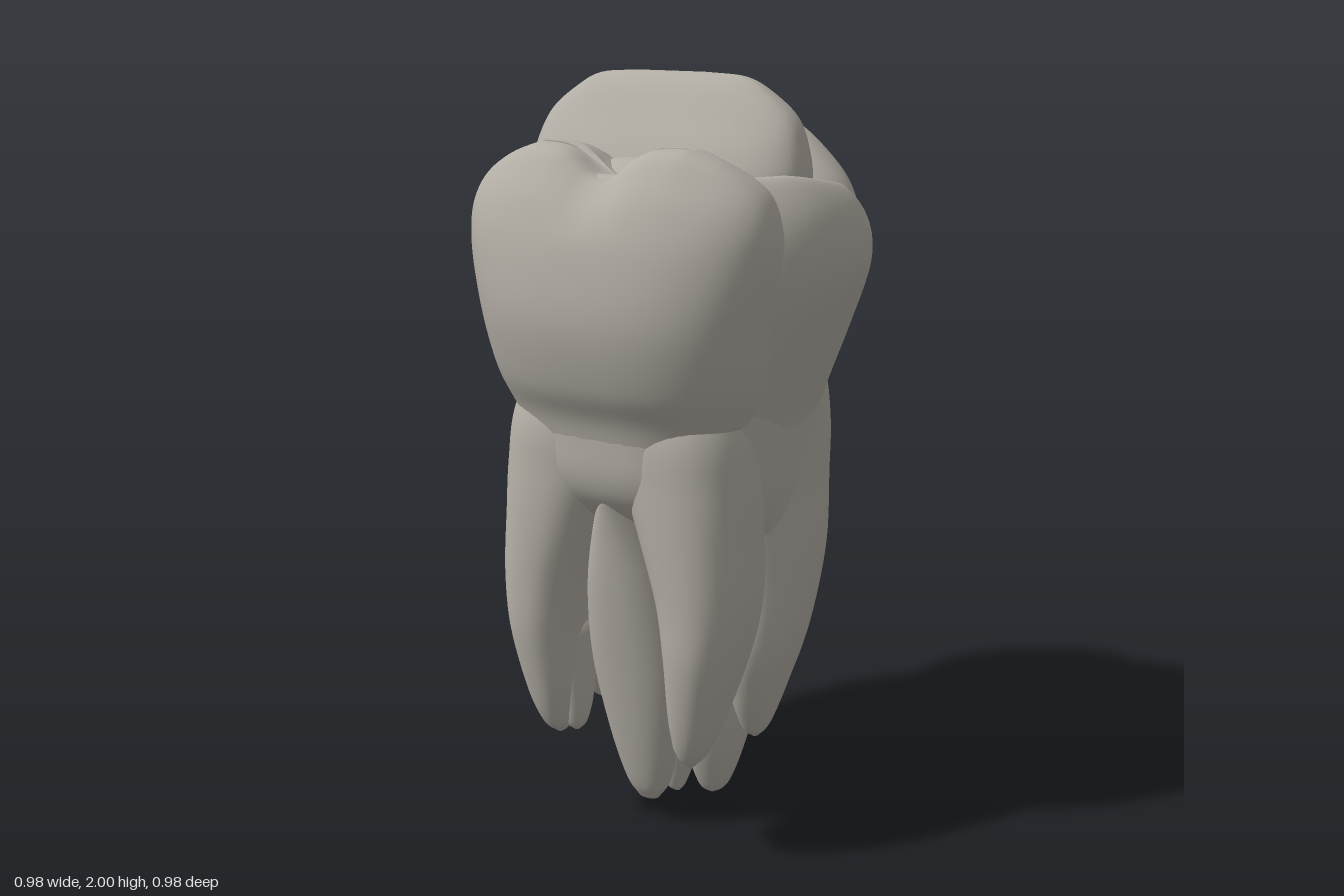
import * as THREE from 'three';

const enamel = new THREE.MeshStandardMaterial({ color: 0xb3aea5 });
enamel.name = 'warm grey';

// Smooth closed body through sections [y, centreX, centreZ, radiusX, radiusZ], listed bottom to top.
// power > 2 squares the cross-section; rule(v) may move each vertex.
function loft(sections, { power = 2.2, sides = 40, rule = null } = {}) {
  const n = sections.length, rings = (n - 1) * 6;
  const spline = new THREE.CubicInterpolant(sections.map((_, i) => i), sections.flat(), 5, new Float32Array(5));
  const pos = [], index = [], v = new THREE.Vector3();
  const add = (x, y, z) => {
    v.set(x, y, z);
    if (rule) rule(v);
    pos.push(v.x, v.y, v.z);
  };
  const round = (c) => Math.sign(c) * Math.pow(Math.abs(c), 2 / power);
  for (let i = 0; i <= rings; i++) {
    const [y, cx, cz, rx, rz] = spline.evaluate((i / rings) * (n - 1));
    for (let j = 0; j < sides; j++) {
      const a = (j / sides) * Math.PI * 2;
      add(cx + Math.max(rx, 0.004) * round(Math.cos(a)), y, cz + Math.max(rz, 0.004) * round(Math.sin(a)));
    }
  }
  const first = sections[0], last = sections[n - 1];
  add(first[1], first[0], first[2]);
  add(last[1], last[0], last[2]);
  const bottom = (rings + 1) * sides, top = bottom + 1;
  for (let j = 0; j < sides; j++) {
    const k = (j + 1) % sides;
    for (let i = 0; i < rings; i++) {
      const a = i * sides + j, b = i * sides + k, c = a + sides, d = b + sides;
      index.push(a, c, b, b, c, d);
    }
    index.push(bottom, j, k, top, rings * sides + k, rings * sides + j);
  }
  const g = new THREE.BufferGeometry();
  g.setAttribute('position', new THREE.Float32BufferAttribute(pos, 3));
  g.setIndex(index);
  g.computeVertexNormals();
  return g;
}

// Lowers the rim of a lobe in the middle and towards its ends
const cusps = (start, notch, width, fall) => (v) => {
  const h = Math.max(0, v.y - start);
  v.y -= h * (notch * Math.exp(-((v.x / width) ** 2)) + fall * Math.max(0, (Math.abs(v.x) - 0.2) / 0.2));
};
// Lets the bowl rim fall away towards the rear
const rearSlope = (v) => { v.y -= Math.max(0, v.y - 1.5) * Math.max(0, 0.15 - v.z) * 0.65; };

export function createModel() {
  const group = new THREE.Group();
  const part = (name, geometry) => {
    const m = new THREE.Mesh(geometry, enamel);
    m.name = name;
    group.add(m);
  };
  const single = (name, sections, options) => part(name, loft(sections, options));
  const pair = (name, sections, options) => {
    single('left' + name, sections, options);
    single('right' + name, sections.map(([y, x, ...r]) => [y, -x, ...r]), options);
  };

  // Crown: wide bowl with a sunken chewing surface
  single('crownBowl', [
    [1.05, 0, 0, 0.33, 0.37], [1.2, 0, 0, 0.37, 0.4], [1.38, 0, 0, 0.435, 0.42],
    [1.52, 0, 0, 0.482, 0.42], [1.63, 0, 0, 0.49, 0.41], [1.72, 0, 0, 0.465, 0.385],
    [1.785, 0, 0, 0.41, 0.34], [1.75, 0, 0, 0.36, 0.28], [1.7, 0, 0, 0.28, 0.2], [1.68, 0, 0, 0.02, 0.02],
  ], { sides: 56, power: 2.25, rule: rearSlope });

  // Front lobe, notched in the middle of its rim
  single('frontLobe', [
    [1.08, 0, 0.2, 0.24, 0.19], [1.2, 0, 0.2, 0.32, 0.215], [1.3, 0, 0.2, 0.36, 0.262],
    [1.45, 0, 0.21, 0.39, 0.282], [1.6, 0, 0.23, 0.412, 0.247], [1.72, 0, 0.26, 0.4, 0.18],
    [1.8, 0, 0.27, 0.365, 0.125], [1.84, 0, 0.29, 0.29, 0.07], [1.85, 0, 0.29, 0.2, 0.02],
  ], { power: 2.5, sides: 64, rule: cusps(1.65, 0.38, 0.07, 0.3) });

  // Rear lobe with two cusps
  single('rearLobe', [
    [1.15, 0, -0.2, 0.26, 0.17], [1.3, 0, -0.2, 0.34, 0.205], [1.48, 0, -0.2, 0.4, 0.222],
    [1.64, 0, -0.2, 0.4, 0.212], [1.76, 0, -0.22, 0.36, 0.165], [1.84, 0, -0.24, 0.27, 0.1],
    [1.87, 0, -0.25, 0.18, 0.05], [1.875, 0, -0.25, 0.09, 0.02],
  ], { sides: 64, rule: cusps(1.6, 0.25, 0.06, 0.25) });

  // Raised cross ridge
  single('centreRidge', [
    [1.6, 0, 0.05, 0.36, 0.16], [1.74, 0, 0.05, 0.375, 0.148], [1.82, 0, 0.042, 0.367, 0.127],
    [1.9, 0, 0.03, 0.335, 0.09], [1.96, 0, 0.025, 0.265, 0.057], [1.992, 0, 0.025, 0.2, 0.026], [2.0, 0, 0.025, 0.1, 0.006],
  ], { power: 2.8, sides: 56 });
  // Small steps in front of and behind the ridge
  single('frontStep', [
    [1.66, 0, 0.21, 0.11, 0.08], [1.76, 0, 0.21, 0.1, 0.07], [1.8, 0, 0.2, 0.075, 0.045], [1.81, 0, 0.2, 0.02, 0.01],
  ]);
  single('rearStep', [
    [1.65, 0, -0.06, 0.27, 0.06], [1.76, 0, -0.05, 0.25, 0.06], [1.86, 0, -0.035, 0.1, 0.04], [1.91, 0, -0.02, 0.06, 0.03],
  ], { power: 3 });
  // Curled folds on the back of the ridge
  for (const s of [1, -1]) {
    const side = s > 0 ? 'left' : 'right';
    const fold = (name, points, r) => part(side + name, new THREE.TubeGeometry(
      new THREE.CatmullRomCurve3(points.map(([x, y, z]) => new THREE.Vector3(s * x, y, z))), 28, r, 10));
    fold('InnerFold', [[0.06, 1.92, -0.015], [0.14, 1.92, -0.03], [0.21, 1.89, -0.04], [0.18, 1.84, -0.055], [0.08, 1.83, -0.035]], 0.022);
    fold('OuterFold', [[0.2, 1.9, 0.02], [0.29, 1.86, -0.02], [0.3, 1.79, -0.04], [0.24, 1.76, -0.08], [0.1, 1.74, -0.08]], 0.035);
  }

  // Neck joining crown and roots
  single('neck', [
    [0.55, 0, -0.06, 0.1, 0.12], [0.7, 0, -0.06, 0.25, 0.23], [0.86, 0, -0.05, 0.32, 0.3],
    [0.97, 0, -0.01, 0.34, 0.37], [1.05, 0, 0, 0.347, 0.4], [1.15, 0, 0, 0.355, 0.405],
    [1.25, 0, 0, 0.36, 0.4], [1.36, 0, 0, 0.34, 0.37],
  ], { power: 2.6, sides: 56 });

  // Outer ring of roots
  pair('FrontRoot', [
    [0.28, 0.2, 0.28, 0.01, 0.02], [0.32, 0.205, 0.28, 0.037, 0.06], [0.42, 0.215, 0.275, 0.065, 0.1],
    [0.6, 0.23, 0.25, 0.095, 0.155], [0.75, 0.225, 0.235, 0.118, 0.172], [0.92, 0.195, 0.23, 0.145, 0.175],
    [1.05, 0.17, 0.225, 0.165, 0.175], [1.18, 0.155, 0.21, 0.165, 0.18], [1.32, 0.14, 0.19, 0.13, 0.15],
  ], { power: 2.3 });
  // Small toes inside the front roots
  pair('FrontToe', [
    [0.28, 0.168, 0.26, 0.01, 0.01], [0.31, 0.168, 0.26, 0.03, 0.035], [0.4, 0.168, 0.25, 0.037, 0.06], [0.6, 0.175, 0.24, 0.04, 0.08],
  ]);
  pair('SideRoot', [
    [0.24, 0.24, -0.01, 0.01, 0.015], [0.28, 0.243, -0.01, 0.035, 0.06], [0.4, 0.25, -0.015, 0.065, 0.125],
    [0.55, 0.26, -0.035, 0.09, 0.18], [0.75, 0.25, -0.09, 0.11, 0.215], [0.95, 0.23, -0.11, 0.12, 0.235],
    [1.1, 0.22, -0.11, 0.13, 0.235], [1.25, 0.2, -0.09, 0.14, 0.215], [1.36, 0.18, -0.08, 0.1, 0.15],
  ]);
  pair('RearRoot', [
    [0.3, 0.065, -0.43, 0.012, 0.015], [0.34, 0.07, -0.425, 0.045, 0.045], [0.45, 0.078, -0.4, 0.09, 0.08],
    [0.62, 0.085, -0.365, 0.135, 0.115], [0.8, 0.095, -0.335, 0.155, 0.12], [1.0, 0.1, -0.3, 0.16, 0.12],
    [1.2, 0.1, -0.28, 0.14, 0.12], [1.35, 0.09, -0.27, 0.09, 0.09],
  ]);
  // Filling between the two rear roots
  single('rearRootMiddle', [
    [0.42, 0, -0.42, 0.02, 0.03], [0.5, 0, -0.405, 0.07, 0.075], [0.62, 0, -0.385, 0.12, 0.105],
    [0.8, 0, -0.35, 0.14, 0.11], [1.0, 0, -0.3, 0.14, 0.12], [1.25, 0, -0.27, 0.12, 0.11],
  ]);

  // Inner cluster of longer roots
  single('centreFrontRoot', [
    [0.07, 0, 0.16, 0.03, 0.02], [0.13, 0, 0.16, 0.065, 0.05], [0.28, 0, 0.17, 0.105, 0.08],
    [0.5, 0, 0.195, 0.137, 0.1], [0.72, 0, 0.225, 0.125, 0.11], [0.9, 0, 0.26, 0.08, 0.1], [1.02, 0, 0.3, 0.025, 0.08],
  ]);
  pair('InnerFrontRoot', [
    [0.08, 0.06, 0.11, 0.01, 0.01], [0.12, 0.06, 0.11, 0.03, 0.04], [0.3, 0.08, 0.1, 0.06, 0.09], [0.6, 0.1, 0.12, 0.08, 0.12],
  ]);
  pair('InnerRoot', [
    [0.0, 0.085, -0.055, 0.012, 0.015], [0.04, 0.09, -0.055, 0.045, 0.055], [0.18, 0.095, -0.06, 0.08, 0.115],
    [0.35, 0.1, -0.08, 0.095, 0.155], [0.55, 0.1, -0.09, 0.105, 0.185], [0.8, 0.1, -0.08, 0.11, 0.18],
  ]);

  return group;
}
